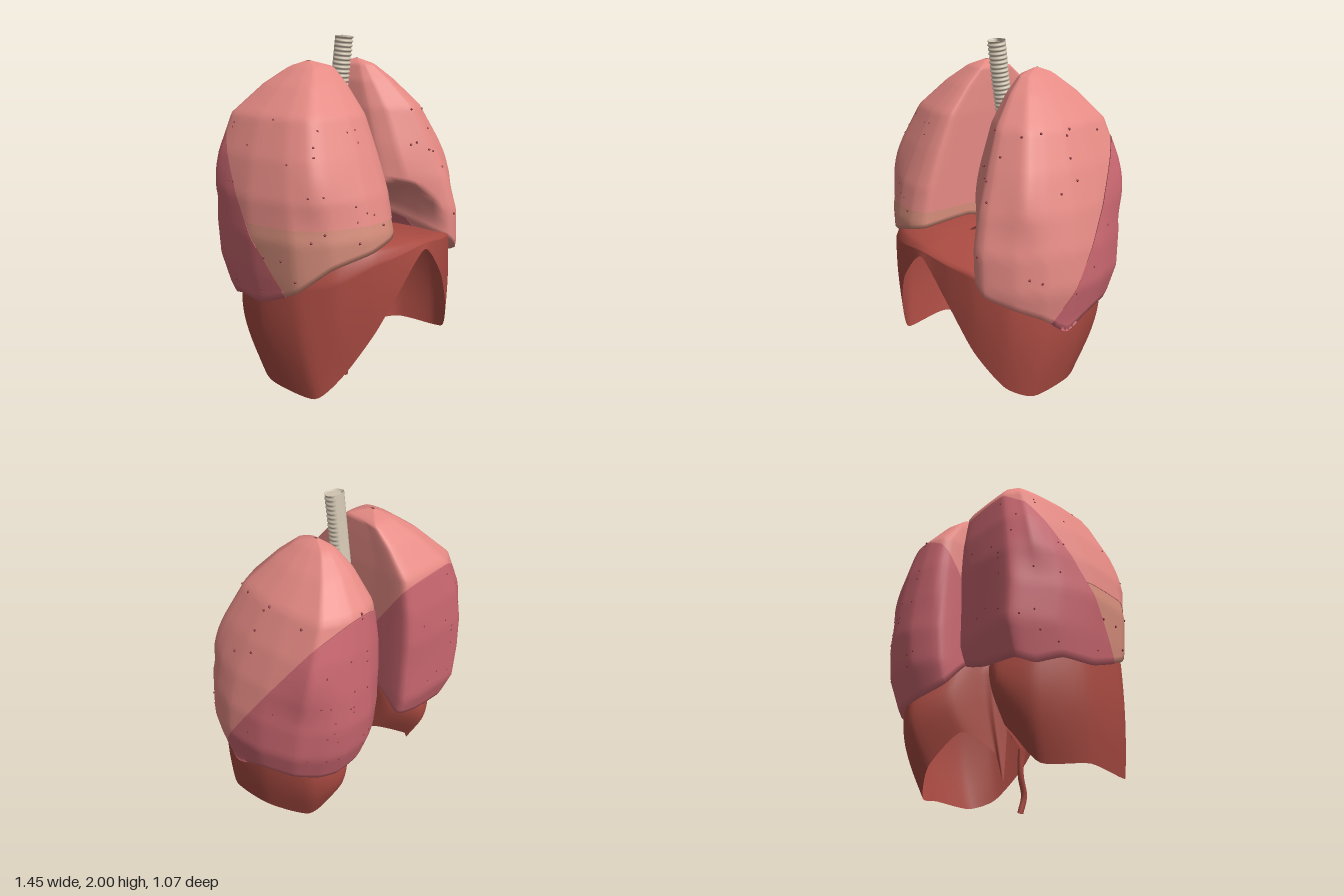
import * as THREE from 'three';

const V = (x, y, z) => new THREE.Vector3(x, y, z);
const mat = (color) => new THREE.MeshStandardMaterial({ color, side: THREE.DoubleSide, roughness: 0.8 });
const { lerp, clamp, smoothstep } = THREE.MathUtils;

// Indexed surface of rows x columns, columns wrap around
function grid(rows, cols, fn) {
  const pos = [], idx = [];
  for (let i = 0; i <= rows; i++)
    for (let j = 0; j < cols; j++) pos.push(...fn(i / rows, j / cols).toArray());
  for (let i = 0; i < rows; i++)
    for (let j = 0; j < cols; j++) {
      const k = (j + 1) % cols, a = i * cols + j, b = i * cols + k, c = a + cols, d = b + cols;
      idx.push(a, b, c, b, d, c);
    }
  const g = new THREE.BufferGeometry();
  g.setAttribute('position', new THREE.Float32BufferAttribute(pos, 3));
  g.setIndex(idx);
  g.computeVertexNormals();
  return g;
}

function add(parent, name, geometry, material) {
  const m = new THREE.Mesh(geometry, material);
  m.name = name;
  parent.add(m);
  return m;
}

// Keep the part of a triangle list on the positive side of a plane
function clip(tris, plane) {
  const out = [];
  for (const t of tris) {
    const poly = [];
    t.forEach((a, i) => {
      const b = t[(i + 1) % 3], da = plane.distanceToPoint(a.p), db = plane.distanceToPoint(b.p);
      if (da >= 0) poly.push(a);
      if (da * db < 0) {
        const k = da / (da - db);
        poly.push({ p: a.p.clone().lerp(b.p, k), n: a.n.clone().lerp(b.n, k).normalize() });
      }
    });
    for (let i = 2; i < poly.length; i++) out.push([poly[0], poly[i - 1], poly[i]]);
  }
  return out;
}

function toTris(g) {
  const f = g.toNonIndexed(), P = f.attributes.position, N = f.attributes.normal, tris = [];
  const at = (i) => ({ p: V().fromBufferAttribute(P, i), n: V().fromBufferAttribute(N, i) });
  for (let i = 0; i < P.count; i += 3) tris.push([at(i), at(i + 1), at(i + 2)]);
  return tris;
}

function fromTris(tris, swell = 0) {
  const v = tris.flat(), g = new THREE.BufferGeometry();
  g.setAttribute('position', new THREE.Float32BufferAttribute(v.flatMap((a) => a.p.clone().addScaledVector(a.n, swell).toArray()), 3));
  g.setAttribute('normal', new THREE.Float32BufferAttribute(v.flatMap((a) => a.n.toArray()), 3));
  return g;
}

// Lung: outline points [x, z, bottom height], levels [y, inner x, outer x, back z, front z]
function lungGeometry(outline, levels, side, notch) {
  const pts = outline.map(([x, z, b]) => V(x, b, z));
  if (side < 0) pts.reverse();
  const curve = new THREE.CatmullRomCurve3(pts, true, 'catmullrom', 0.25);
  const box = new THREE.Box3().setFromPoints(pts);
  const size = box.getSize(V()), mid = box.getCenter(V());
  const level = (y) => {
    let i = 0;
    while (i < levels.length - 2 && y < levels[i + 1][0]) i++;
    const a = levels[i], b = levels[i + 1];
    const k = clamp((a[0] - y) / (a[0] - b[0]), 0, 1);
    return a.map((v, n) => lerp(v, b[n], k));
  };
  const top = levels[0][0], wall = 0.8;
  return grid(60, 78, (r, c) => {
    const o = curve.getPoint(c);
    const t = Math.min(r / wall, 1);
    const y = lerp(top, o.y, Math.pow(t, 1.4));
    const [, xi, xo, zb, zf] = level(y);
    const u = side * (o.x - mid.x) / size.x * 2, w = (o.z - mid.z) / size.z * 2;
    // upper sections are squarer than the base
    const square = smoothstep(y, 1.0, 1.35) * (u > 0 ? 0.4 : 0.25);
    const f = lerp(1, 1 / Math.max(Math.abs(u), Math.abs(w)), square);
    const p = V(side * lerp(xi, xo, (u * f + 1) / 2), y, lerp(zb, zf, (w * f + 1) / 2));
    if (notch) { // hollow for the heart
      const d = p.distanceToSquared(notch) / 0.0576;
      if (d < 1) { p.x += 0.13 * (1 - d); p.z -= 0.24 * (1 - d); }
    }
    if (r > wall) { // hollow underside
      const k = (r - wall) / (1 - wall);
      p.set(lerp(p.x, side * 0.4, k), lerp(p.y, 1.0, 1 - (1 - k) ** 2), lerp(p.z, 0, k));
    }
    return p;
  });
}

// Airway with ripple rings and a flattened back
function airway(points, r0, r1, rings) {
  const curve = new THREE.CatmullRomCurve3(points);
  return grid(rings * 6, 20, (s, c) => {
    const T = curve.getTangentAt(s), F = V(0, 0, 1).addScaledVector(T, -T.z).normalize();
    const S = V().crossVectors(T, F), a = c * Math.PI * 2;
    const ripple = Math.sin(a) > -0.5 ? 0.004 * Math.cos(s * rings * Math.PI * 2) : 0;
    const r = lerp(r0, r1, s) + ripple;
    return curve.getPointAt(s).addScaledVector(S, r * Math.cos(a)).addScaledVector(F, r * Math.max(Math.sin(a), -0.7));
  });
}

export function createModel() {
  const model = new THREE.Group();
  model.name = 'respiratoryOrgans';
  const pink = mat(0xe58a84), rose = mat(0xc8666f), tan = mat(0xd58d7b);
  const red = mat(0xa84a41), bone = mat(0xd0c3b0), dark = mat(0x8c3a40);

  // Lungs
  const zs = [[1.87, -0.12, -0.1], [1.84, -0.21, 0], [1.75, -0.32, 0.1], [1.6, -0.45, 0.23], [1.4, -0.49, 0.32],
    [1.2, -0.515, 0.4], [1.0, -0.53, 0.45], [0.8, -0.51, 0.45], [0.6, -0.44, 0.42]];
  const makeLevels = (xi, xo, back) => zs.map(([y, b, f], i) => [y, xi[i], xo[i], Math.max(b, back), f]);
  const leftLevels = makeLevels([0.2, 0.16, 0.125, 0.1, 0.09, 0.09, 0.09, 0.09, 0.1],
    [0.21, 0.26, 0.36, 0.495, 0.59, 0.66, 0.705, 0.72, 0.68], -0.53);
  const rightLevels = makeLevels([0.21, 0.13, 0.125, 0.12, 0.12, 0.12, 0.12, 0.12, 0.13],
    [0.22, 0.29, 0.41, 0.56, 0.645, 0.7, 0.72, 0.7, 0.67], -0.51);
  const leftOutline = [[0.09, -0.44, 0.68], [0.24, -0.53, 0.62], [0.4, -0.53, 0.6], [0.5, -0.48, 0.6], [0.61, -0.37, 0.62],
    [0.69, -0.17, 0.63], [0.71, 0.05, 0.55], [0.67, 0.22, 0.65], [0.58, 0.35, 0.71], [0.45, 0.45, 0.77],
    [0.37, 0.45, 0.84], [0.2, 0.31, 0.95], [0.09, 0.2, 0.98], [0.09, -0.15, 0.9]];
  const rightOutline = [[-0.12, -0.46, 0.7], [-0.3, -0.5, 0.64], [-0.54, -0.51, 0.62], [-0.61, -0.42, 0.6], [-0.68, -0.28, 0.64],
    [-0.72, -0.08, 0.64], [-0.69, 0.18, 0.73], [-0.57, 0.33, 0.86], [-0.37, 0.43, 0.92], [-0.22, 0.44, 0.96],
    [-0.13, 0.39, 0.98], [-0.12, 0.1, 1.0], [-0.12, -0.2, 0.9]];
  const oblique = new THREE.Plane(V(0, 0.5425, 0.84), -0.479);
  const horizontal = new THREE.Plane(V(0, 1, 0), -1.07);
  let seed = 7;
  const rand = () => (seed = (seed * 16807) % 2147483647) / 2147483647;

  for (const side of [1, -1]) {
    const lung = new THREE.Group();
    lung.name = side > 0 ? 'leftLung' : 'rightLung';
    model.add(lung);
    const g = side > 0 ? lungGeometry(leftOutline, leftLevels, 1, V(0.13, 0.95, 0.26))
      : lungGeometry(rightOutline, rightLevels, -1);
    const tris = toTris(g), front = clip(tris, oblique);
    add(lung, 'lowerLobe', fromTris(clip(tris, oblique.clone().negate()), 0.004), rose);
    if (side > 0) add(lung, 'upperLobe', fromTris(front), pink);
    else {
      add(lung, 'upperLobe', fromTris(clip(front, horizontal), 0.004), pink);
      add(lung, 'middleLobe', fromTris(clip(front, horizontal.clone().negate())), tan);
    }
    // Vessel tips dotted over the outer surface
    const tip = new THREE.IcosahedronGeometry(0.008, 0);
    for (let n = 0; n < 45;) {
      const { p } = tris[Math.floor(rand() * tris.length * 0.78)][0];
      if (p.y > 1.6 || Math.abs(p.x) < 0.2) continue;
      add(lung, 'vesselTip', tip, dark).position.copy(p);
      n++;
    }
  }

  // Diaphragm: rim and lower margin run from the front round each side to the back
  const rimSide = [[0.2, 0.89, 0.5], [0.36, 0.87, 0.45], [0.52, 0.8, 0.34], [0.62, 0.76, 0.15], [0.63, 0.75, -0.1],
    [0.53, 0.72, -0.32], [0.33, 0.7, -0.41], [0.16, 0.76, -0.28]];
  const rimLeft = [...rimSide, [0.1, 0.83, -0.12], [0.075, 0.84, -0.08], [0.05, 0.85, -0.05]];
  const rimRight = [...rimSide.map(([x, y, z]) => [-x * 1.03, y, z]), [-0.13, 0.82, 0.01], [-0.11, 0.84, 0.1], [-0.05, 0.85, 0.1]];
  const marginLeft = [[0.2, 0.68, 0.51], [0.36, 0.42, 0.45], [0.5, 0.23, 0.35], [0.59, 0.17, 0.22], [0.57, 0.17, -0.04],
    [0.43, 0.13, -0.25], [0.3, 0.27, -0.32], [0.15, 0.45, -0.22], [0.09, 0.36, -0.03], [0.06, 0.2, 0.01], [0.05, 0.48, 0.03]];
  const marginRight = [[-0.2, 0.7, 0.51], [-0.34, 0.48, 0.45], [-0.48, 0.26, 0.35], [-0.59, 0.13, 0.24], [-0.61, 0.15, -0.04],
    [-0.48, 0.14, -0.25], [-0.36, 0.3, -0.32], [-0.2, 0.4, -0.22], [-0.125, 0.32, -0.03], [-0.085, 0.17, 0.01], [-0.07, 0.45, 0.03]];
  const loop = (front, left, back, right) => new THREE.CatmullRomCurve3(
    [front, ...left, back, ...[...right].reverse()].map((p) => V(...p)), true, 'catmullrom', 0.35);
  const rim = loop([0, 0.91, 0.52], rimLeft, [0, 0.86, -0.03], rimRight);
  const margin = loop([0, 0.88, 0.53], marginLeft, [0, 0.57, 0.03], marginRight);
  add(model, 'diaphragm', grid(36, 168, (s, c) => {
    const a = rim.getPoint(c);
    if (s < 0.5) { // roof
      const k = s * 2;
      const p = V(a.x * k, 0, lerp(0.22, a.z, k));
      p.y = lerp(a.y, 0.955 - 0.16 * p.x, Math.sqrt(1 - k * k));
      return p;
    }
    const k = s * 2 - 1; // wall, fuller at the back
    const p = a.lerp(margin.getPoint(c), k), swell = Math.sin(k * Math.PI);
    return V(p.x * (1 + 0.04 * swell), p.y, p.z * (1 + (p.z < 0 ? 0.18 : 0) * swell));
  }), red);

  // Thin vessels and the long crus at the back of the diaphragm
  const vessel = (name, pts, r, material = dark) => add(model, name,
    new THREE.TubeGeometry(new THREE.CatmullRomCurve3(pts.map((p) => V(...p))), 24, r, 8), material);
  vessel('rightCrus', [[-0.1, 0.34, -0.01], [-0.088, 0.2, 0.0], [-0.075, 0.1, 0.035], [-0.062, 0.01, 0.02]], 0.016, red);
  vessel('midlineVessel', [[0.01, 0.85, 0.06], [0.015, 0.65, 0.05], [0.01, 0.43, 0.03]], 0.004);
  vessel('midlineVessel', [[0.07, 0.86, 0.06], [0.05, 0.8, 0.07], [0.03, 0.74, 0.06]], 0.006);
  for (const y of [1.04, 1.09, 1.12])
    vessel('hilumVessel', [[-0.14, y + 0.1, -0.02], [-0.1, y + 0.06, 0], [-0.07, y, 0.02]], 0.004);

  // Trachea and main bronchi
  add(model, 'trachea', airway([V(-0.02, 2, -0.02), V(-0.02, 1.75, -0.055), V(-0.015, 1.48, -0.1)], 0.05, 0.05, 22), bone);
  add(model, 'tracheaTop', new THREE.CircleGeometry(0.046, 20).rotateX(-Math.PI / 2).scale(1, 1, 0.8)
    .translate(-0.02, 1.99, -0.015), bone);
  add(model, 'leftBronchus', airway([V(-0.015, 1.51, -0.1), V(0.05, 1.44, -0.12), V(0.16, 1.36, -0.15)], 0.042, 0.033, 9), bone);
  add(model, 'rightBronchus', airway([V(-0.015, 1.51, -0.1), V(-0.07, 1.43, -0.12), V(-0.17, 1.32, -0.14)], 0.042, 0.034, 9), bone);
  return model;
}
